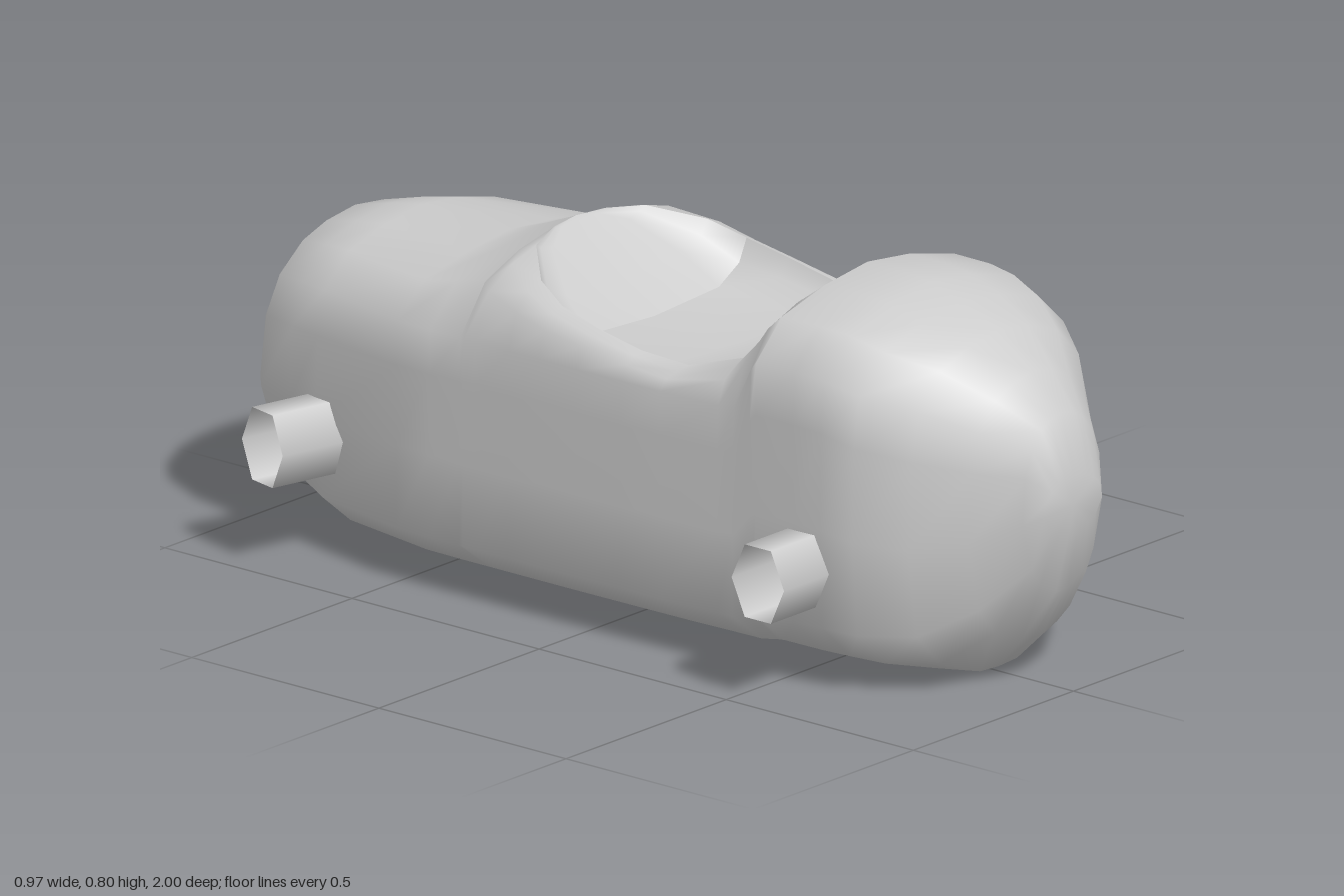
import * as THREE from 'three';
import { mergeVertices } from 'three/addons/utils/BufferGeometryUtils.js';

const mat = new THREE.MeshStandardMaterial({ color: 0xcccccc, side: THREE.DoubleSide });

// Skin a list of equal-length cross-sections (arrays of [x, y, z])
function loft(rings) {
  const n = rings[0].length, index = [];
  for (let i = 0; i < rings.length - 1; i++) {
    for (let j = 0; j < n - 1; j++) {
      const a = i * n + j, b = a + 1, c = a + n, d = c + 1;
      index.push(a, b, c, b, d, c);
    }
  }
  let geo = new THREE.BufferGeometry();
  geo.setAttribute('position', new THREE.Float32BufferAttribute(rings.flat(2), 3));
  geo.setIndex(index);
  geo = mergeVertices(geo, 1e-4);
  geo.computeVertexNormals();
  return geo;
}

// Mirror a half section (rim to centre line, x >= 0) into a full one
const mirrored = (half) => [...half, ...half.slice(0, -1).reverse().map(([x, y, z]) => [-x, y, z])];

// Hull stations: z, bottom, top, half width
const nose = [
  [1, 0.34, 0.46, 0.09], [0.97, 0.21, 0.59, 0.125], [0.89, 0.09, 0.66, 0.2],
  [0.8, 0.01, 0.73, 0.285], [0.7, 0, 0.768, 0.342], [0.62, 0, 0.793, 0.347], [0.55, 0, 0.8, 0.349],
];
const tail = [
  [-0.41, 0, 0.697, 0.365], [-0.5, 0, 0.665, 0.362], [-0.74, 0, 0.665, 0.335], [-0.83, 0.025, 0.648, 0.314],
  [-0.92, 0.07, 0.625, 0.295], [-0.96, 0.11, 0.58, 0.25], [-0.985, 0.18, 0.5, 0.17], [-1, 0.27, 0.4, 0.07],
];
// Cockpit stations: z, bottom, rim height, half width, rim half width, floor height
const cockpit = [
  [0.45, 0, 0.8, 0.351, 0, 0.8], [0.435, 0, 0.776, 0.351, 0.11, 0.75], [0.39, 0, 0.704, 0.352, 0.21, 0.66],
  [0.35, 0, 0.64, 0.353, 0.265, 0.6], [0.2, 0, 0.592, 0.36, 0.267, 0.55], [0.1, 0, 0.61, 0.362, 0.298, 0.55],
  [-0.02, 0, 0.633, 0.364, 0.298, 0.555], [-0.12, 0, 0.655, 0.365, 0.288, 0.56], [-0.2, 0, 0.685, 0.365, 0.26, 0.625],
  [-0.29, 0, 0.718, 0.365, 0.17, 0.698], [-0.32, 0, 0.728, 0.365, 0.08, 0.722], [-0.33, 0, 0.73, 0.365, 0, 0.73],
];

// Boxy section with soft corners, turning elliptical toward both ends
function hullSection([z, yb, yt, w, r = 0]) {
  const s = 0.99 * w;
  // The shoulders stay level beside the cockpit while the rim rises and dips
  const side = Math.abs(z) < 0.4 ? 0.665 : Math.min(yt, z > 0 ? 0.8 : 0.665);
  const h = side - yb, shoulder = yb + 0.84 * h;
  const round = Math.max(0, (Math.abs(z) - 0.55) / 0.45) ** 1.4;
  const deck = (kx, ky) => [s + (r - s) * kx, shoulder + (yt - shoulder) * ky];
  const lower = [[1, 0.7], [1, 0.44], [1, 0.175], [0.74, 0.07], [0.25, 0.005], [0, 0]];
  return mirrored([
    deck(1, 1), deck(0.62, 0.875), deck(0.23, 0.61), deck(0, 0),
    ...lower.map(([k, t]) => [k * w, yb + t * h]),
  ].map(([x, y]) => {
    const t = Math.min(1, (y - yb) / (yt - yb));
    const oval = 2 * w * Math.sqrt(t * (1 - t));
    return [x + (oval - x) * round, y, z];
  }));
}

// Shallow dished section from rim to rim
function tubSection([z, , rim, , r, floor]) {
  const at = (k) => floor + (rim - floor) * k;
  return mirrored([
    [-r, rim], [-0.92 * r, at(0.5)], [-0.7 * r, at(0.12)], [0, floor],
  ].map(([x, y]) => [x, y, z]));
}

export function createModel() {
  const group = new THREE.Group();
  const add = (name, geo) => {
    const mesh = new THREE.Mesh(geo, mat);
    mesh.name = name;
    group.add(mesh);
    return mesh;
  };

  // Body shell with an open cockpit, closed at both ends
  const sections = [...nose, ...cockpit, ...tail].map(hullSection);
  const close = (y, z) => sections[0].map(() => [0, y, z]);
  add('body', loft([close(0.4, 1), ...sections, close(0.335, -1)]));

  // Cockpit tub; the seat back is a separate skin so its lower edge stays sharp
  const crease = cockpit.findIndex(([z]) => z === -0.12);
  const tub = cockpit.map(tubSection);
  add('cockpitFloor', loft(tub.slice(0, crease + 1)));
  add('seatBack', loft(tub.slice(crease)));

  // Hexagonal axle stubs, open at the outer end
  for (const side of [1, -1]) {
    const label = side > 0 ? 'Left' : 'Right';
    for (const [name, x, z, length, yaw] of [
      ['front', 0.32, 0.57, 0.163, 0], ['rear', 0.3, -0.725, 0.175, 0.23],
    ]) {
      const axle = add(`${name}Axle${label}`, new THREE.CylinderGeometry(0.07, 0.07, length, 6, 1, true).translate(0, length / 2, 0));
      axle.position.set(side * x, 0.258, z);
      axle.rotation.set(0, side * yaw, -side * Math.PI / 2);
      axle.scale.x = 1.28;
    }
  }
  return group;
}
